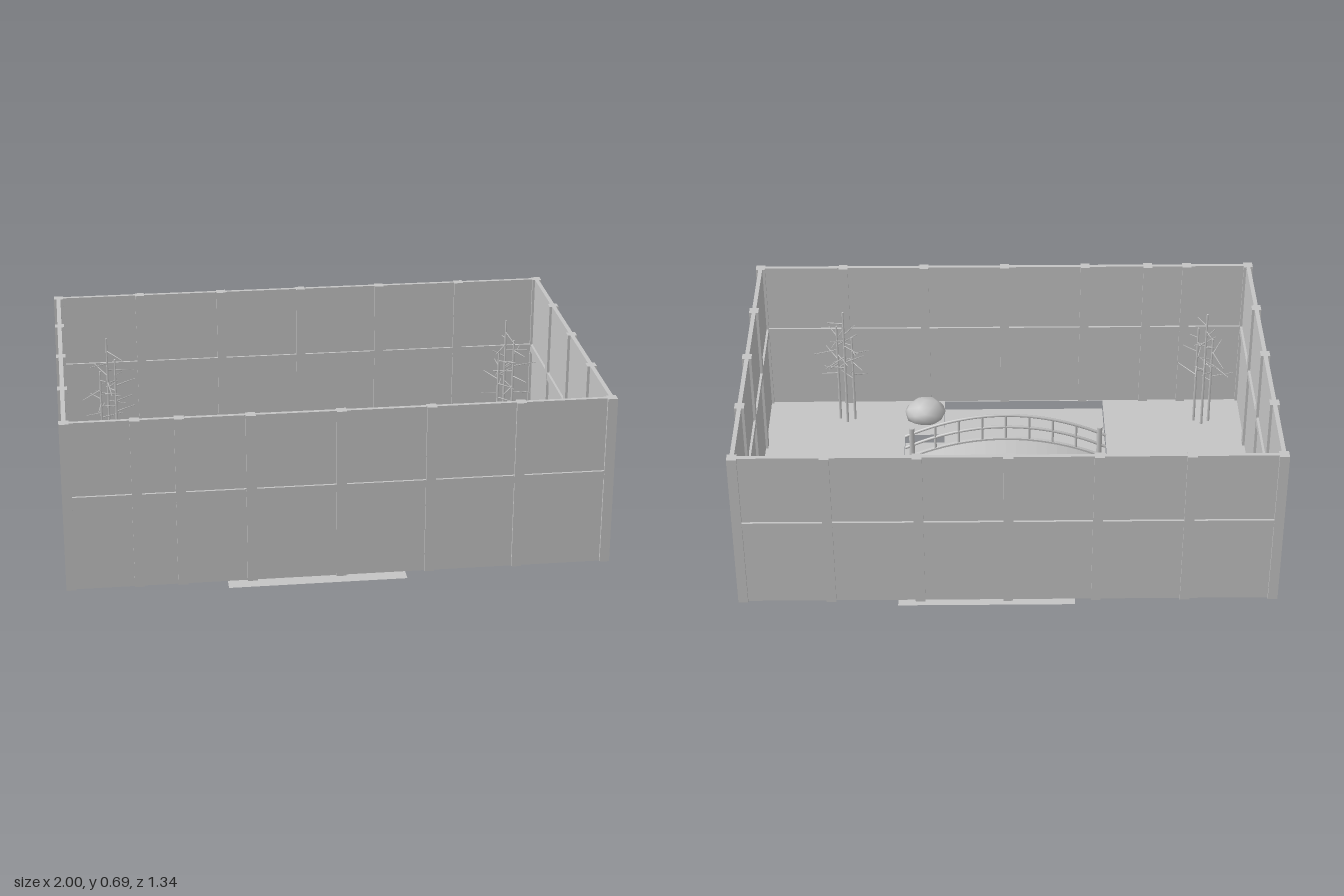
import * as THREE from 'three';
import { mergeVertices } from 'three/addons/utils/BufferGeometryUtils.js';

const BASE = 0.04, TOP = 0.69;

export function createModel() {
  const garden = new THREE.Group();
  garden.name = 'walledGarden';
  const stone = new THREE.MeshStandardMaterial({ color: 0xc4c4c4, side: THREE.DoubleSide });
  stone.name = 'pale grey';

  let seed = 11;
  const rand = (a, b) => {
    seed = (seed * 16807) % 2147483647;
    return a + (b - a) * (seed / 2147483647);
  };
  const add = (parent, name, geometry, x = 0, y = 0, z = 0) => {
    const mesh = new THREE.Mesh(geometry, stone);
    mesh.name = name;
    mesh.position.set(x, y, z);
    parent.add(mesh);
    return mesh;
  };
  const group = (name, parent = garden) => {
    const g = new THREE.Group();
    g.name = name;
    parent.add(g);
    return g;
  };
  const box = (parent, name, w, h, d, x, y, z) =>
    add(parent, name, new THREE.BoxGeometry(w, h, d), x, y, z);
  // thin rod between two points
  const rod = (parent, name, a, b, r0, r1 = r0, sides = 5) => {
    const dir = b.clone().sub(a);
    const mesh = add(parent, name, new THREE.CylinderGeometry(r1, r0, dir.length(), sides));
    mesh.position.copy(a).addScaledVector(dir, 0.5);
    mesh.quaternion.setFromUnitVectors(new THREE.Vector3(0, 1, 0), dir.normalize());
  };
  // outlines are given as [x, z]; the shape lies flat after turning
  const outline = (pts) => pts.map(([x, z]) => new THREE.Vector2(x, -z));
  const flat = (shape) => new THREE.ShapeGeometry(shape).rotateX(-Math.PI / 2);

  // Ground with the pond cut out
  const backEdge = [[0.41, -0.085], [0.575, -0.085], [0.575, -0.41], [0.41, -0.41],
    [0.41, -0.645], [-0.25, -0.645], [-0.25, -0.41], [-0.41, -0.41], [-0.41, -0.085]];
  const frontEdge = [[-0.41, 0.245], [-0.41, 0.64], [0.25, 0.64], [0.25, 0.4], [0.41, 0.4], [0.41, 0.245]];
  const ground = new THREE.Shape(outline([[-0.985, -0.658], [0.985, -0.658], [0.985, 0.658], [-0.985, 0.658]]));
  ground.holes.push(new THREE.Path(outline([...backEdge, ...frontEdge])));
  add(garden, 'ground', flat(ground), 0, BASE, 0);

  // Sunken pond surfaces on both sides of the bridge
  add(garden, 'backPond', flat(new THREE.Shape(outline(backEdge))));
  add(garden, 'frontPond', flat(new THREE.Shape(outline(frontEdge))));

  // Perimeter walls: recessed panel, flush posts and middle rail
  const midY = (BASE + TOP) / 2, height = TOP - BASE;
  const wall = (name, length, posts) => {
    const g = group(name);
    box(g, 'panel', length - 0.04, height, 0.016, 0, midY, 0);
    box(g, 'middleRail', length - 0.04, 0.03, 0.034, 0, 0.392, 0);
    for (const x of posts) box(g, 'post', 0.036, height, 0.036, x, midY, 0);
    return g;
  };
  wall('backWall', 2, [-0.655, -0.325, 0, 0.325, 0.655]).position.z = -0.653;
  const front = wall('frontWall', 2, [-0.735, -0.578, -0.325, 0, 0.325, 0.65]);
  front.position.z = 0.653;
  box(front, 'doorLintel', 0.125, 0.03, 0.034, -0.656, 0.375, 0);
  for (const s of [-1, 1]) {
    const side = wall(s > 0 ? 'leftWall' : 'rightWall', 1.34, [-0.328, 0, 0.328]);
    side.rotation.y = Math.PI / 2;
    side.position.x = s * 0.982;
    for (const z of [-0.653, 0.653]) box(garden, 'cornerPost', 0.036, height, 0.036, s * 0.982, midY, z);
  }

  // Arched bridge
  const bridge = group('bridge');
  const HALF = 0.41, STEPS = 20;
  const arch = (x, y, rise) => y + rise * (1 - (x / HALF) ** 2);
  const xs = Array.from({ length: STEPS + 1 }, (_, i) => -HALF + (2 * HALF * i) / STEPS);
  const band = (low, high) => new THREE.Shape([
    ...xs.map((x) => new THREE.Vector2(x, Math.max(0.005, low(x)))),
    ...xs.slice().reverse().map((x) => new THREE.Vector2(x, high(x)))]);
  const deckTop = (x) => arch(x, 0.04, 0.1);
  const extrude = (shape, depth) => new THREE.ExtrudeGeometry(shape, { depth, bevelEnabled: false });
  add(bridge, 'deck', extrude(band((x) => deckTop(x) - 0.01, deckTop), 0.29), 0, 0, -0.065);
  for (const z of [-0.07, 0.226]) {
    const rail = group('railing', bridge);
    add(rail, 'sideBeam', extrude(band((x) => arch(x, -0.01, 0.1), (x) => deckTop(x) + 0.008), 0.014), 0, 0, z - 0.007);
    for (const lift of [0.06, 0.115]) {
      const path = new THREE.CatmullRomCurve3(xs.map((x) => new THREE.Vector3(x * 0.98, deckTop(x) + lift, z)));
      add(rail, 'handrail', new THREE.TubeGeometry(path, 32, 0.006, 6));
    }
    for (let i = -4; i <= 4; i++) {
      const x = i * 0.094, end = Math.abs(i) === 4;
      add(rail, end ? 'endPost' : 'baluster',
        new THREE.CylinderGeometry(end ? 0.011 : 0.005, end ? 0.011 : 0.005, end ? 0.14 : 0.115, 8),
        x, deckTop(x) + (end ? 0.07 : 0.0575), z);
    }
  }

  // Boulders: uneven balls flattened where they rest
  const boulder = (x, z, rx, ry, rz, lift) => {
    let geo = new THREE.IcosahedronGeometry(1, 1);
    geo.deleteAttribute('normal');
    geo.deleteAttribute('uv');
    geo = mergeVertices(geo, 1e-3);
    const p = geo.attributes.position;
    for (let i = 0; i < p.count; i++) {
      const k = rand(0.9, 1.07);
      p.setXYZ(i, p.getX(i) * k * rx, Math.max(p.getY(i) * k * ry, 0.033 - BASE - lift), p.getZ(i) * k * rz);
    }
    geo.computeVertexNormals();
    add(garden, 'boulder', geo, x, BASE + lift, z);
  };
  boulder(-0.815, -0.315, 0.157, 0.105, 0.15, 0.085);
  boulder(-0.49, -0.5, 0.13, 0.085, 0.13, 0.068);
  boulder(0.655, -0.168, 0.118, 0.07, 0.092, 0.055);
  boulder(0.328, 0.512, 0.084, 0.055, 0.078, 0.04);

  // Slender plants: a few stems with bare twigs
  for (const [x, z] of [[-0.8, -0.48], [0.83, -0.5], [-0.81, 0.47], [0.65, 0.5]]) {
    const plant = group('plant');
    plant.position.set(x, BASE, z);
    [[0, 0, 0.53], [0.03, 0.025, 0.45], [-0.03, 0.02, 0.4]].forEach(([sx, sz, h]) => {
      rod(plant, 'stem', new THREE.Vector3(sx, 0, sz), new THREE.Vector3(sx, h, sz), 0.006, 0.004, 6);
      for (let i = 0; i < 9; i++) {
        const a = i * 2.4 + rand(0, 1), reach = rand(0.05, 0.1), y = h * (0.5 + 0.05 * i);
        rod(plant, 'twig', new THREE.Vector3(sx, y, sz),
          new THREE.Vector3(sx + Math.cos(a) * reach, y + rand(-0.03, 0.03), sz + Math.sin(a) * reach), 0.003, 0.0015, 4);
      }
    });
  }

  // Row of small garden markers, square and round in turn
  [0.47, 0.542, 0.614, 0.686].forEach((x, i) => {
    const marker = group('marker');
    marker.position.set(x, BASE, -0.597);
    add(marker, 'markerPost', new THREE.CylinderGeometry(0.008, 0.008, 0.07, 8), 0, 0.035, 0);
    if (i % 2) add(marker, 'roundHead', new THREE.SphereGeometry(0.014, 10, 8), 0, 0.075, 0);
    else box(marker, 'squareHead', 0.032, 0.03, 0.03, 0, 0.08, 0);
  });

  return garden;
}
